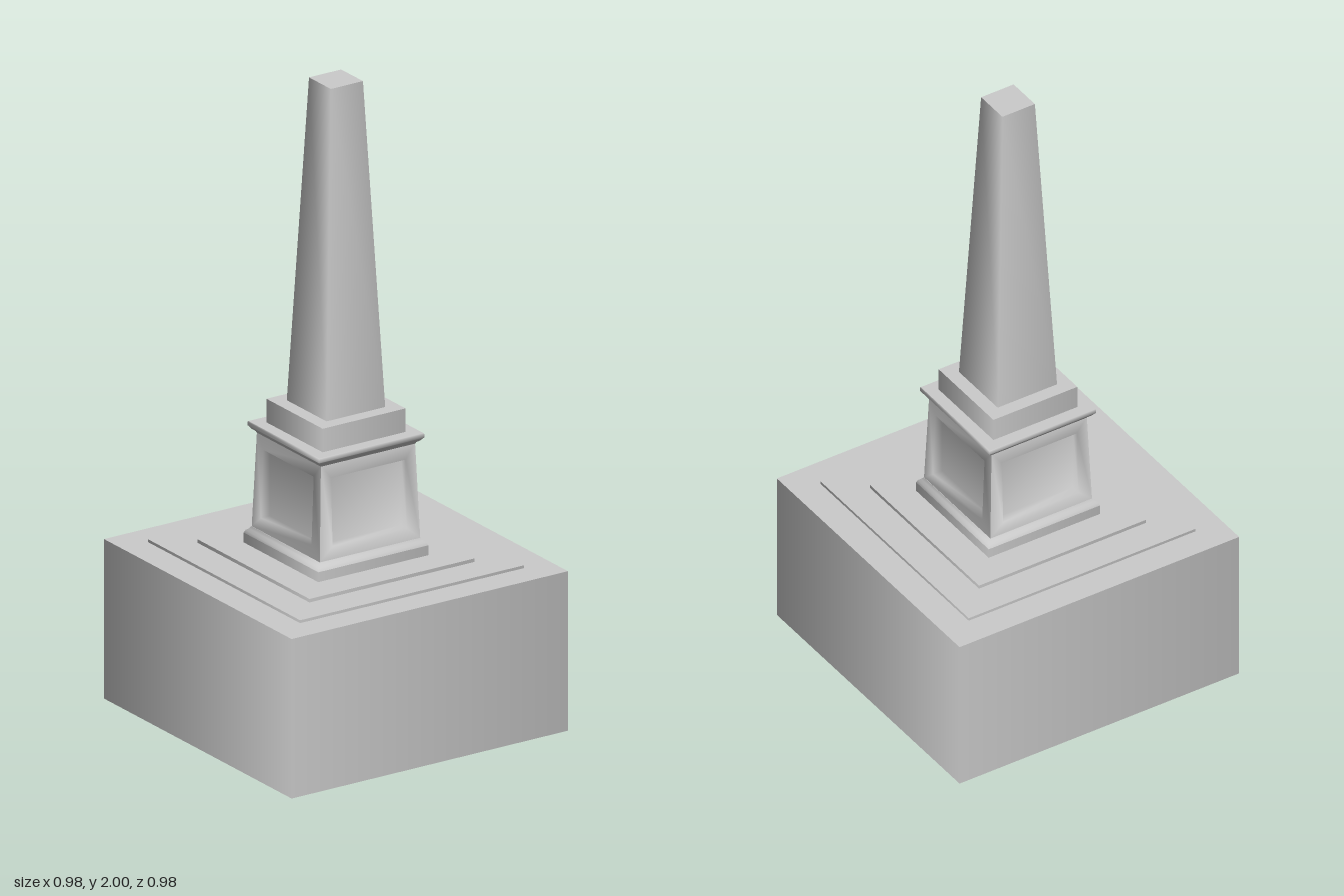
import * as THREE from 'three';

const material = new THREE.MeshStandardMaterial({ color: 0xcccccc, side: THREE.DoubleSide });

// Square solid from a profile of [half width, height] points, split into
// runs so that the edges between the runs stay sharp.
function squareLoft(name, ...runs) {
  const group = new THREE.Group();
  group.name = name;
  for (const run of runs) {
    const points = run.map(([half, y]) => new THREE.Vector2(half * Math.SQRT2, y));
    const mesh = new THREE.Mesh(new THREE.LatheGeometry(points, 4, Math.PI / 4), material);
    mesh.name = name + 'Surface';
    group.add(mesh);
  }
  return group;
}

// Straight or tapered block: wall and flat top
function block(name, bottom, y0, top, y1) {
  return squareLoft(name, [[bottom, y0], [top, y1]], [[top, y1], [0, y1]]);
}

// One face of the pedestal: tapered frame, reveal and sunken panel
function panelGeometry() {
  const y0 = 0.575, y1 = 0.875, h0 = 0.178, h1 = 0.167;
  const faceZ = (y) => THREE.MathUtils.mapLinear(y, y0, y1, h0, h1);
  const low = 0.615, high = 0.828, w = 0.132, floorZ = 0.145;
  const ring = (wLow, wHigh, a, b, z) => [
    [-wLow, a, z(a)], [wLow, a, z(a)], [wHigh, b, z(b)], [-wHigh, b, z(b)],
  ];
  const vertices = [
    ...ring(h0, h1, y0, y1, faceZ),
    ...ring(w, w, low, high, faceZ),
    ...ring(w, w, low, high, () => floorZ),
  ];
  const index = [8, 9, 10, 8, 10, 11];
  for (const r of [0, 4]) {
    for (let i = 0; i < 4; i++) {
      const a = r + i, b = r + (i + 1) % 4;
      index.push(a, b, b + 4, a, b + 4, a + 4);
    }
  }
  const geometry = new THREE.BufferGeometry();
  geometry.setAttribute('position', new THREE.Float32BufferAttribute(vertices.flat(), 3));
  geometry.setIndex(index);
  geometry.computeVertexNormals();
  return geometry;
}

export function createModel() {
  const model = new THREE.Group();
  model.name = 'obelisk';

  // Hollow base, open underneath, with two shallow steps
  model.add(
    block('base', 0.49, 0, 0.49, 0.502),
    block('lowerStep', 0.397, 0.502, 0.397, 0.511),
    block('upperStep', 0.293, 0.511, 0.293, 0.522),
  );

  // Pedestal foot with a curved upper edge
  model.add(squareLoft('pedestalFoot',
    [[0.195, 0.522], [0.195, 0.553]],
    [[0.195, 0.553], [0.191, 0.562], [0.184, 0.567], [0.179, 0.575]],
    [[0.179, 0.575], [0.14, 0.575]]));

  // Four sunken panels
  const pedestal = new THREE.Group();
  pedestal.name = 'pedestal';
  const geometry = panelGeometry();
  for (let i = 0; i < 4; i++) {
    const panel = new THREE.Mesh(geometry, material);
    panel.name = 'pedestalPanel';
    panel.rotation.y = i * Math.PI / 2;
    pedestal.add(panel);
  }
  model.add(pedestal);

  // Cornice moulding
  model.add(squareLoft('cornice',
    [[0.167, 0.87], [0.17, 0.876], [0.178, 0.881], [0.184, 0.889]],
    [[0.184, 0.889], [0.187, 0.892], [0.187, 0.902], [0.185, 0.905]],
    [[0.185, 0.905], [0, 0.905]]));

  // Shaft block and tapering shaft
  model.add(
    block('shaftBlock', 0.147, 0.905, 0.147, 0.979),
    block('shaft', 0.104, 0.979, 0.057, 2),
  );
  return model;
}
